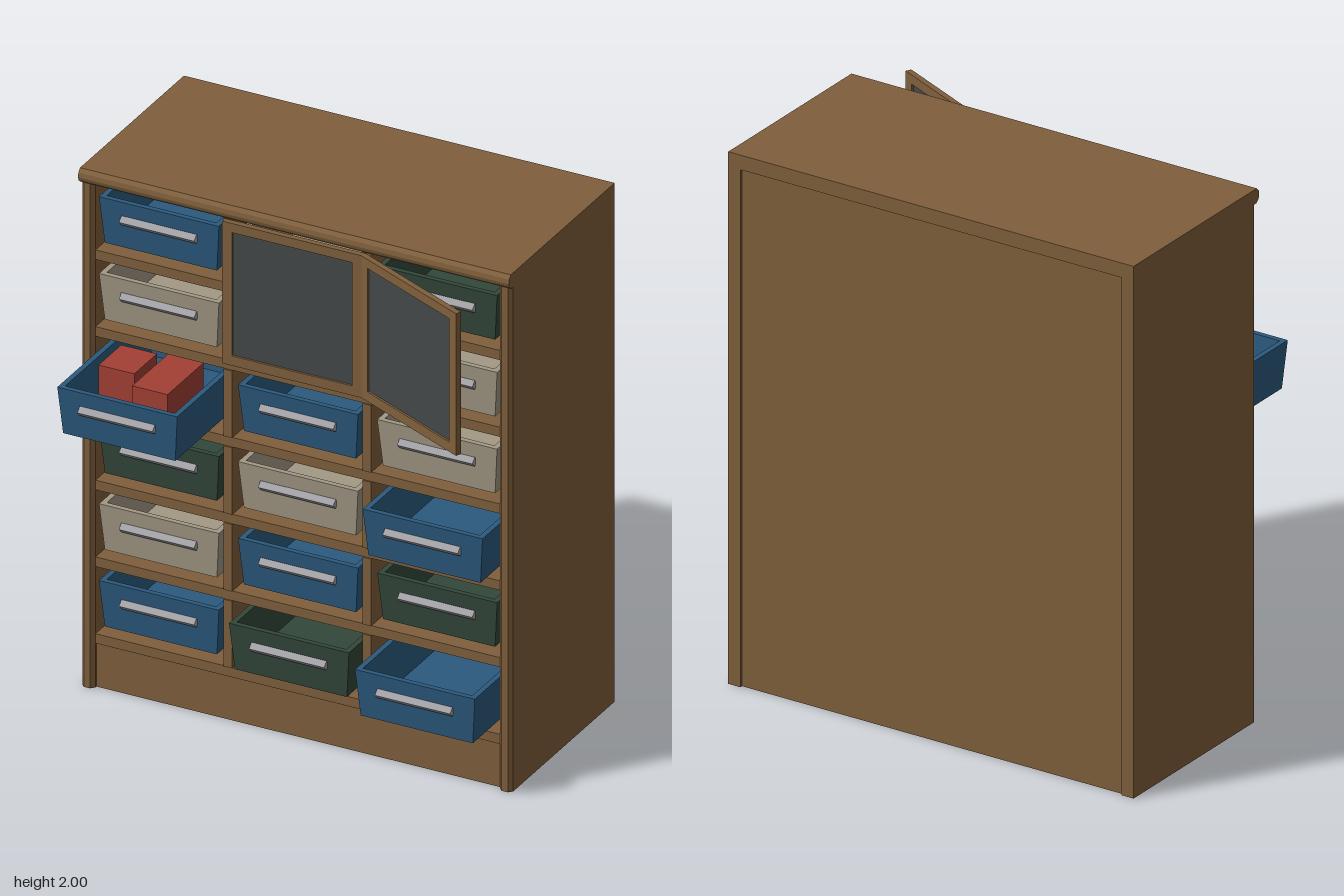
import * as THREE from 'three';

const mat = (name, color) => Object.assign(new THREE.MeshStandardMaterial({ color }), { name });

export function createModel() {
  const root = new THREE.Group();
  root.name = 'drawerCabinet';
  const wood = mat('wood', 0x7f5f3c);
  const glass = mat('darkGlass', 0x434849);
  const metal = mat('metal', 0xa2a2a6);
  const red = mat('redBox', 0xa34034);
  const paint = {
    b: mat('bluePaint', 0x2b5a7e),
    g: mat('greenPaint', 0x33473a),
    w: mat('creamPaint', 0xa29885),
  };

  const add = (parent, name, geo, material) => {
    const m = new THREE.Mesh(geo, material);
    m.name = name;
    parent.add(m);
    return m;
  };
  // Box given by its limits on each axis
  const box = (parent, name, x0, x1, y0, y1, z0, z1, material = wood) => {
    const g = new THREE.BoxGeometry(x1 - x0, y1 - y0, z1 - z0);
    g.translate((x0 + x1) / 2, (y0 + y1) / 2, (z0 + z1) / 2);
    return add(parent, name, g, material);
  };
  const extrude = (points, depth) => new THREE.ExtrudeGeometry(
    new THREE.Shape(points.map(p => new THREE.Vector2(...p))), { depth, bevelEnabled: false });

  const BACK = -0.53, PITCH = 0.296, SHELF0 = 0.207, SHELF = 0.037, TOP = 1.945;
  const shelfTop = row => SHELF0 + PITCH * row; // row 0 is the lowest

  // Side panels with chamfered front edges
  for (const s of [-1, 1]) {
    const g = extrude([[-0.025, -BACK], [-0.025, -0.208], [-0.012, -0.222],
      [0.012, -0.222], [0.025, -0.208], [0.025, -BACK]].reverse(), TOP);
    g.rotateX(-Math.PI / 2);
    g.translate(s * 0.805, 0, 0);
    add(root, 'sidePanel', g, wood);
  }

  // Top board with a rounded front lip
  const lip = [[BACK, TOP], [0.222, TOP], [0.236, 1.957], [0.24, 1.97],
    [0.237, 1.987], [0.225, 2], [BACK, 2]];
  const topGeo = extrude(lip.map(([z, y]) => [-z, y]).reverse(), 1.66);
  topGeo.rotateY(Math.PI / 2);
  topGeo.translate(-0.83, 0, 0);
  add(root, 'topBoard', topGeo, wood);

  // Back panel, plinth and shelves
  box(root, 'backPanel', -0.78, 0.78, 0, TOP, -0.52, -0.49);
  box(root, 'plinthFront', -0.78, 0.78, 0, 0.17, 0.16, 0.2);
  for (let r = 0; r < 6; r++) {
    const y = shelfTop(r);
    box(root, 'shelf', -0.78, 0.78, y - SHELF, y, -0.49, 0.207);
    for (const s of [-1, 1]) {
      box(root, 'divider', s * 0.268 - 0.016, s * 0.268 + 0.016, y, y + PITCH - SHELF, -0.49, 0.212);
    }
  }

  // Open tapered tray lofted through outer and inner rectangles
  const trayGeometry = () => {
    const rect = (w, y, zf, zb) => [[-w, y, zf], [w, y, zf], [w, y, zb], [-w, y, zb]];
    const loops = [
      rect(0.216, 0, -0.014, -0.64), rect(0.231, 0.18, 0, -0.65),
      rect(0.211, 0.18, -0.02, -0.63), rect(0.198, 0.018, -0.032, -0.622),
    ];
    const pos = [];
    const quad = (a, b, c, d) => pos.push(...a, ...b, ...c, ...a, ...c, ...d);
    for (let k = 0; k < 3; k++) {
      for (let i = 0; i < 4; i++) {
        const j = (i + 1) % 4;
        quad(loops[k][i], loops[k][j], loops[k + 1][j], loops[k + 1][i]);
      }
    }
    quad(...loops[0].slice().reverse());
    quad(...loops[3]);
    const g = new THREE.BufferGeometry();
    g.setAttribute('position', new THREE.Float32BufferAttribute(pos, 3));
    g.computeVertexNormals();
    return g;
  };
  const tray = trayGeometry();

  // Faceted bar handle
  const bar = new THREE.CylinderGeometry(0.018, 0.018, 0.29, 4).toNonIndexed();
  bar.rotateZ(Math.PI / 2);
  bar.computeVertexNormals();

  // Drawer colours from the bottom row up, and the drawers that are pulled out
  const rows = ['bgb', 'wbg', 'gwb', 'bbw', 'wbw', 'bwg'];
  const pulled = { '0,1': 0.272, '0,2': 0.368, '2,2': 0.312, '3,0': 0.509 };
  rows.forEach((row, r) => [...row].forEach((key, c) => {
    const drawer = new THREE.Group();
    drawer.name = 'drawer';
    drawer.position.set((c - 1) * 0.536, shelfTop(r) + 0.028, pulled[`${r},${c}`] ?? 0.206);
    add(drawer, 'drawerTray', tray, paint[key]);
    add(drawer, 'drawerHandle', bar, metal).position.set(0, 0.11, 0);
    root.add(drawer);
  }));

  // Boxes stored in the open drawer
  box(root, 'storedBoxTall', -0.69, -0.552, 1.14, 1.335, 0.19, 0.355, red);
  box(root, 'storedBoxLow', -0.542, -0.405, 1.14, 1.308, 0.13, 0.39, red);

  // Glazed doors: frame with a hole and a thin pane
  const door = (name, x, width, angle) => {
    const g = new THREE.Group();
    g.name = name;
    const y0 = 1.395, y1 = 1.943, x0 = 0.038, x1 = width - 0.038, b = 1.432, t = 1.908;
    const shape = new THREE.Shape([[0, y0], [width, y0], [width, y1], [0, y1]]
      .map(p => new THREE.Vector2(...p)));
    shape.holes.push(new THREE.Path([[x0, b], [x0, t], [x1, t], [x1, b]]
      .map(p => new THREE.Vector2(...p))));
    add(g, 'doorFrame', new THREE.ExtrudeGeometry(shape, { depth: 0.022, bevelEnabled: false }), wood);
    box(g, 'doorGlass', x0, x1, b, t, 0.008, 0.014, glass);
    g.position.set(x, 0, 0.224);
    g.rotation.y = -angle;
    root.add(g);
  };
  door('closedDoor', -0.272, 0.54, 0);
  door('openDoor', 0.27, 0.535, 0.43);

  return root;
}
